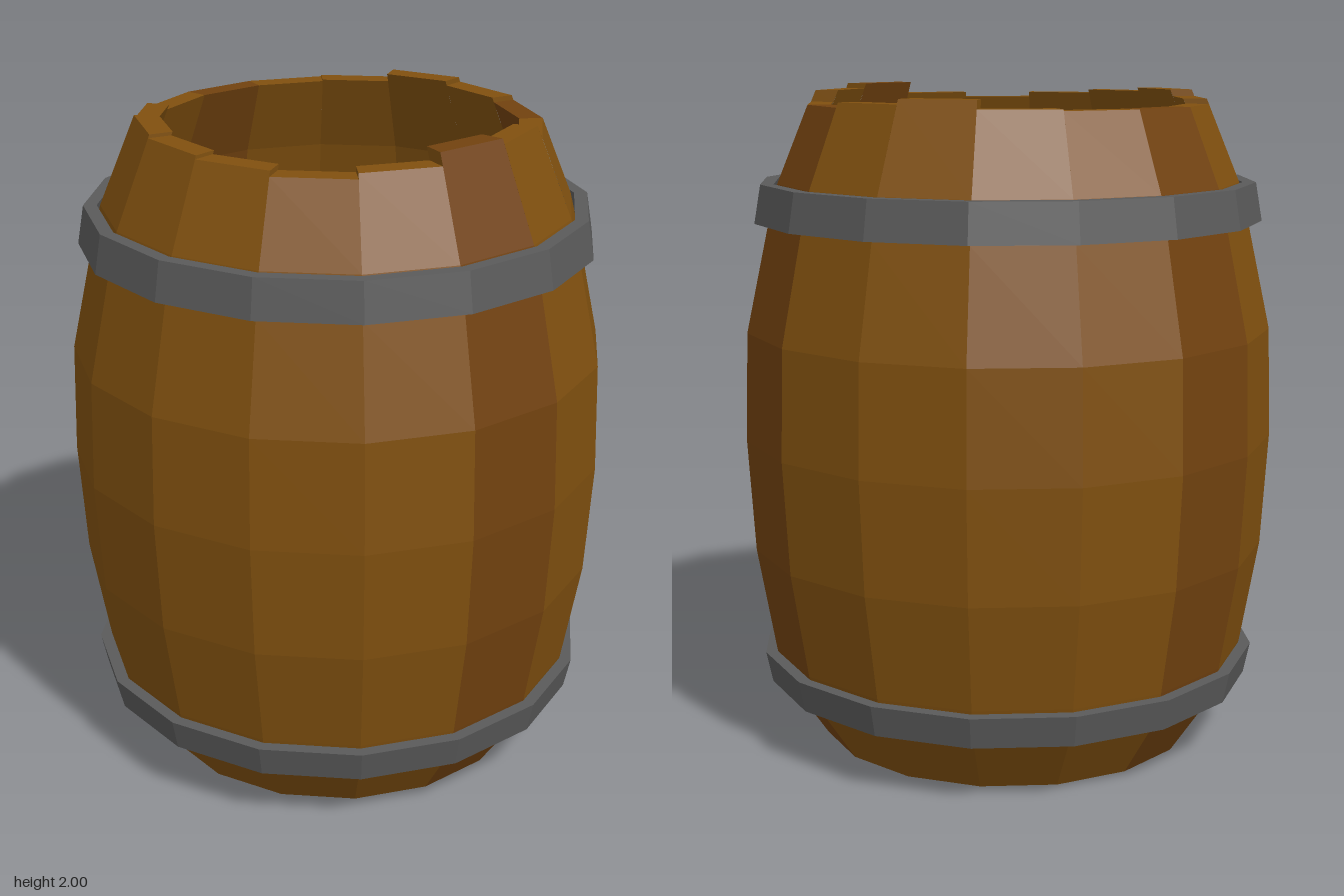
import * as THREE from 'three';

const SIDES = 16;
const STEP = (Math.PI * 2) / SIDES;
const WALL = 0.07;

// Outer belly profile as [radius, y], below the uneven rim
const BELLY = [[0.58, 0], [0.715, 0.2], [0.735, 0.29], [0.79, 0.61], [0.81, 0.95], [0.8, 1.28], [0.73, 1.6], [0.7, 1.72]];

// Stave top heights, counted from the front centre towards +x
const TOPS = [1.985, 1.95, 1.95, 1.965, 1.98, 1.955, 1.95, 1.95, 1.95, 1.965, 1.985, 1.975, 1.965, 1.95, 1.965, 2.0];
const RED_STAVES = [2, 7, 15];

const v = (r, y) => new THREE.Vector2(r, y);
const rimRadius = (y) => 0.605 - 0.43 * (y - 1.95);
const material = (color, side = THREE.FrontSide) =>
  new THREE.MeshStandardMaterial({ color, flatShading: true, side });

export function createModel() {
  const group = new THREE.Group();
  const wood = material(0x80500f);
  const redWood = material(0x72420f);
  const endGrain = material(0x80500f, THREE.DoubleSide);
  const iron = material(0x5a5a5a);

  const add = (name, geometry, mat) => {
    const mesh = new THREE.Mesh(geometry, mat);
    mesh.name = name;
    group.add(mesh);
    return mesh;
  };

  // Staves: one wedge of the barrel wall each, outside up and inside down
  TOPS.forEach((top, i) => {
    const r = rimRadius(top);
    const profile = [
      ...BELLY.map(([x, y]) => v(x, y)),
      v(r, top),
      v(r - WALL, top),
      ...BELLY.map(([x, y]) => v(x - WALL, y)).reverse(),
    ];
    add('stave', new THREE.LatheGeometry(profile, 1, i * STEP, STEP), RED_STAVES.includes(i) ? redWood : wood);

    // Exposed side of the taller stave at each uneven seam
    const next = TOPS[(i + 1) % SIDES];
    if (next !== top) {
      const low = Math.min(top, next), high = Math.max(top, next);
      const a = rimRadius(low), b = rimRadius(high);
      const shape = new THREE.Shape([v(a - WALL, low), v(a, low), v(b, high), v(b - WALL, high)]);
      const side = add('staveEdge', new THREE.ShapeGeometry(shape), endGrain);
      side.rotation.y = (i + 1) * STEP - Math.PI / 2;
    }
  });

  // Base board closing the bottom
  const base = add('base', new THREE.CylinderGeometry(0.57, 0.579, 0.06, SIDES), wood);
  base.position.y = 0.03;

  // Iron hoops, tapered to follow the belly
  const hoop = (name, y0, r0, y1, r1) => {
    const t = 0.04;
    const profile = [v(r0 - t, y0), v(r0, y0), v(r1, y1), v(r1 - t, y1), v(r0 - t, y0)];
    add(name, new THREE.LatheGeometry(profile, SIDES), iron);
  };
  hoop('lowerHoop', 0.185, 0.75, 0.28, 0.77);
  hoop('upperHoop', 1.605, 0.77, 1.72, 0.75);

  return group;
}
